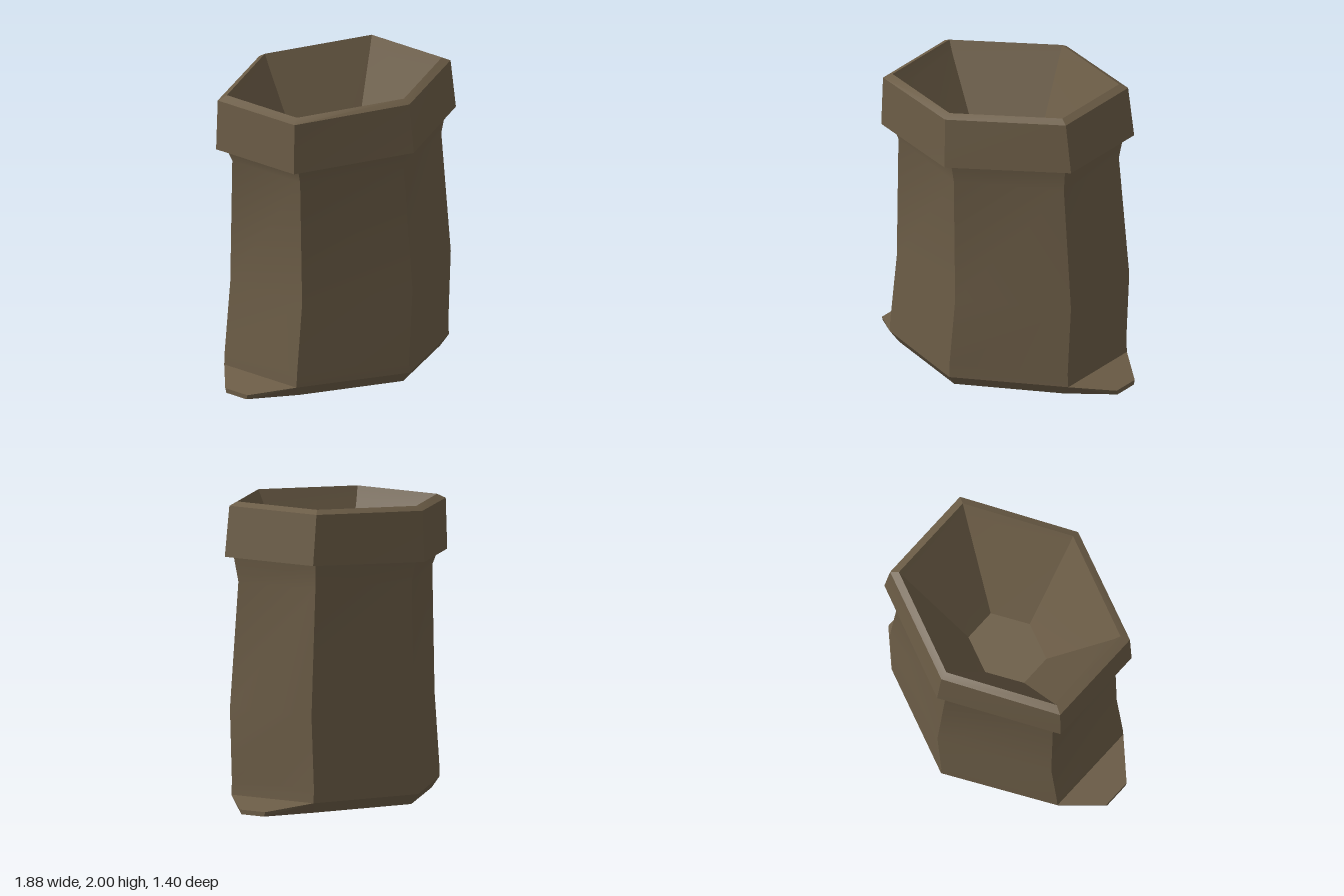
import * as THREE from 'three';
import { toCreasedNormals } from 'three/addons/utils/BufferGeometryUtils.js';
import { ConvexGeometry } from 'three/addons/geometries/ConvexGeometry.js';

// Hexagonal ring: left, centre and right x with their heights, half depth at the points and at the flats
function ring(xl, xc, xr, yl, yc, yr, zPoint, zFlat) {
  return [
    [xr, yr, zFlat], [xr, yr, -zFlat], [xc, yc, -zPoint],
    [xl, yl, -zFlat], [xl, yl, zFlat], [xc, yc, zPoint],
  ];
}

// Skin consecutive rings, optionally closing the first and last ones
function loft(rings, capStart, capEnd) {
  const pos = [];
  const tri = (a, b, c) => pos.push(...a, ...b, ...c);
  const n = rings[0].length;
  for (let r = 0; r < rings.length - 1; r++) {
    const a = rings[r], b = rings[r + 1];
    for (let i = 0; i < n; i++) {
      const j = (i + 1) % n;
      tri(a[i], a[j], b[j]);
      tri(a[i], b[j], b[i]);
    }
  }
  const first = rings[0], last = rings[rings.length - 1];
  for (let i = 1; i < n - 1; i++) {
    if (capStart) tri(first[0], first[i + 1], first[i]);
    if (capEnd) tri(last[0], last[i], last[i + 1]);
  }
  const g = new THREE.BufferGeometry();
  g.setAttribute('position', new THREE.Float32BufferAttribute(pos, 3));
  return toCreasedNormals(g, 0.5);
}

export function createModel() {
  const group = new THREE.Group();
  const clay = new THREE.MeshStandardMaterial({ color: 0x6b5c46 });
  clay.name = 'brown clay';
  const add = (name, geometry) => {
    const mesh = new THREE.Mesh(geometry, clay);
    mesh.name = name;
    group.add(mesh);
  };

  // Shared rings where parts meet
  const neckTop = ring(-0.7, 0, 0.69, 1.575, 1.61, 1.645, 0.635, 0.325);
  const rimOuter = ring(-0.7, -0.02, 0.66, 1.935, 1.968, 2.0, 0.625, 0.315);

  // Slightly bent body with a bevelled foot and a flared neck
  add('body', loft([
    ring(-0.66, 0, 0.66, 0.01, 0.01, 0.01, 0.6, 0.3),
    ring(-0.715, 0, 0.715, 0.08, 0.08, 0.08, 0.655, 0.325),
    ring(-0.71, 0, 0.71, 0.17, 0.17, 0.17, 0.653, 0.325),
    ring(-0.66, 0.04, 0.735, 0.64, 0.64, 0.65, 0.645, 0.323),
    ring(-0.66, 0, 0.665, 1.475, 1.475, 1.475, 0.605, 0.305),
    neckTop,
  ], true, false));

  // Tilted collar
  add('collar', loft([
    neckTop,
    ring(-0.765, -0.005, 0.755, 1.57, 1.608, 1.645, 0.7, 0.35),
    ring(-0.755, -0.02, 0.71, 1.905, 1.94, 1.975, 0.675, 0.345),
    rimOuter,
  ], false, false));

  // Funnel-shaped hollow
  add('funnel', loft([
    rimOuter,
    ring(-0.66, -0.02, 0.62, 1.85, 1.88, 1.91, 0.585, 0.295),
    ring(-0.24, 0, 0.24, 1.1, 1.1, 1.1, 0.22, 0.11),
  ], false, true));

  // Tapered foot tabs on both sides
  for (const s of [1, -1]) {
    const pts = [];
    for (const z of [1, -1]) {
      pts.push(
        new THREE.Vector3(s * 0.715, 0.08, z * 0.325),
        new THREE.Vector3(s * 0.66, 0.01, z * 0.3),
        new THREE.Vector3(s * 0.94, 0.03, z * 0.1),
        new THREE.Vector3(s * 0.94, 0, z * 0.09),
      );
    }
    add(s > 0 ? 'leftFootTab' : 'rightFootTab', new ConvexGeometry(pts));
  }
  return group;
}
